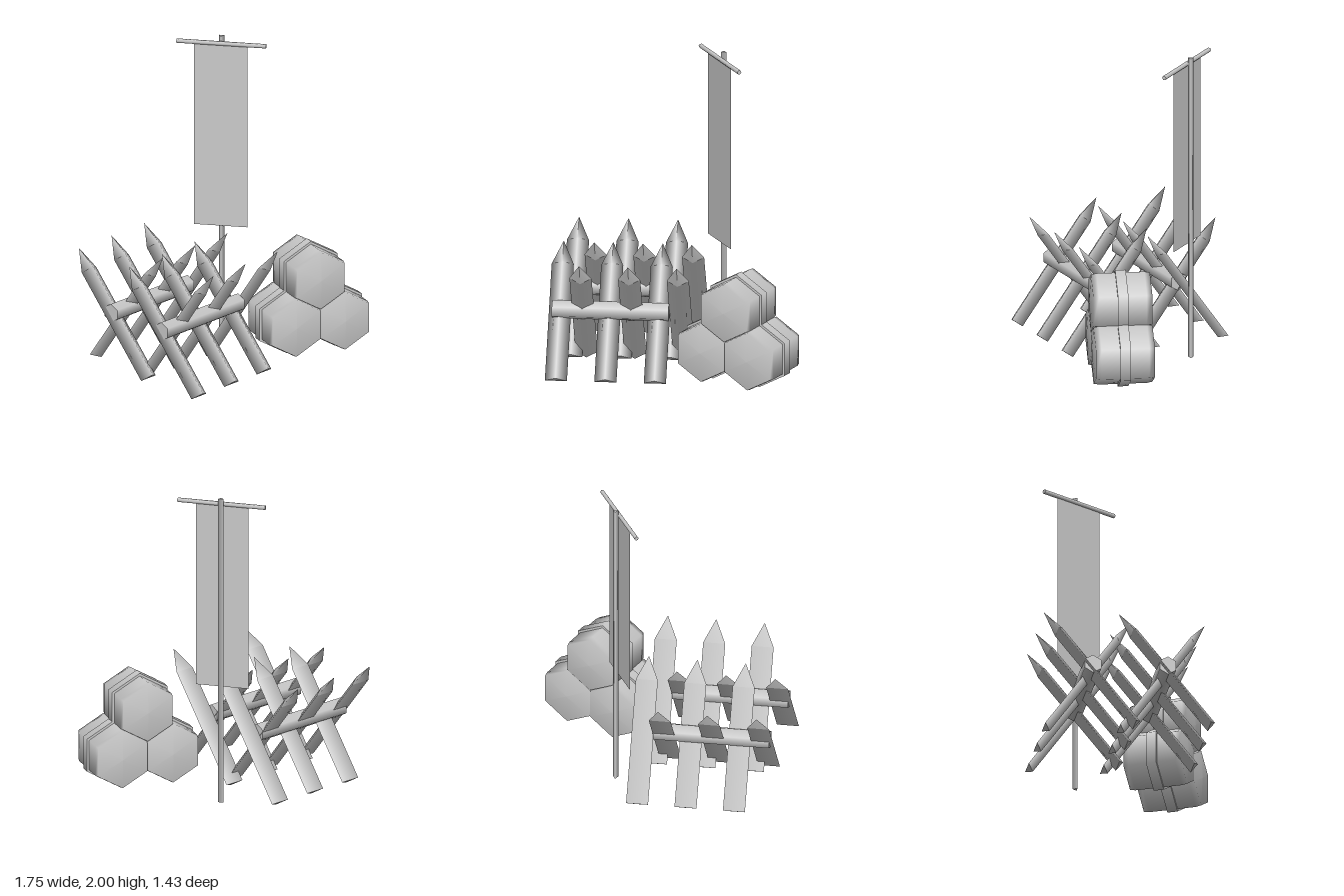
import * as THREE from 'three';
import { mergeGeometries } from 'three/addons/utils/BufferGeometryUtils.js';

const grey = new THREE.MeshStandardMaterial({ color: 0xcccccc });
const cloth = new THREE.MeshStandardMaterial({ color: 0xcccccc, side: THREE.DoubleSide });

function add(parent, name, geometry, x = 0, y = 0, z = 0, material = grey) {
  const mesh = new THREE.Mesh(geometry, material);
  mesh.name = name;
  mesh.position.set(x, y, z);
  parent.add(mesh);
  return mesh;
}

// Three-sided, flattened stake with a pointed end; its foot centre is at the origin
const SHAFT = 0.778, POINT = 0.15;
function stakeGeometry() {
  const shaft = new THREE.CylinderGeometry(0.08, 0.08, SHAFT, 3).translate(0, SHAFT / 2, 0);
  const point = new THREE.ConeGeometry(0.08, POINT, 3, 1, true).translate(0, SHAFT + POINT / 2, 0);
  return mergeGeometries([shaft, point]).scale(1, 1, 0.375);
}

// Place a stake from foot to tip; the ridge of its section looks towards +x
function addStake(parent, name, geometry, footX, footY, tipX, tipY, z) {
  const along = new THREE.Vector3(tipX - footX, tipY - footY, 0).normalize();
  const ridge = new THREE.Vector3(along.y, -along.x, 0);
  const side = new THREE.Vector3(0, 0, -1);
  const stake = add(parent, name, geometry, footX, footY, z);
  stake.quaternion.setFromRotationMatrix(new THREE.Matrix4().makeBasis(side, along, ridge));
}

// Crossed stakes resting on a log
function barricade(x, z) {
  const group = new THREE.Group();
  group.name = 'barricade';
  group.position.set(x, 0, z);
  group.rotation.y = -Math.PI / 6;
  add(group, 'log', new THREE.CylinderGeometry(0.06, 0.06, 0.73, 6).rotateX(Math.PI / 2), 0, 0.41, 0);
  const geometry = stakeGeometry();
  for (let i = -1; i <= 1; i++) {
    addStake(group, 'outwardStake', geometry, 0.282, 0.04, -0.305, 0.76, 0.01 + i * 0.31);
    addStake(group, 'inwardStake', geometry, -0.268, 0.031, 0.267, 0.79, -0.13 + i * 0.305);
  }
  return group;
}

// Six-sided barrels stacked in a pyramid, each with a raised hoop
function barrelStack() {
  const group = new THREE.Group();
  group.name = 'barrelStack';
  group.position.set(0.498, 0, -0.378);
  group.rotation.y = 0.615;
  const profile = [[0, -0.195], [0.188, -0.185], [0.195, -0.15], [0.195, 0.15], [0.188, 0.185], [0, 0.195]]
    .map(([r, h]) => new THREE.Vector2(r, h));
  const body = new THREE.LatheGeometry(profile, 6).rotateX(Math.PI / 2);
  const hoop = new THREE.CylinderGeometry(0.212, 0.212, 0.066, 6).rotateX(Math.PI / 2);
  for (const [x, y] of [[-0.167, 0.245], [0.167, 0.245], [0, 0.535]]) {
    add(group, 'barrel', body, x, y, 0);
    add(group, 'barrelHoop', hoop, x, y, 0);
  }
  return group;
}

// Hanging cloth on a crossbar and pole
function banner() {
  const group = new THREE.Group();
  group.name = 'banner';
  add(group, 'pole', new THREE.CylinderGeometry(0.02, 0.02, 2, 3), -0.09, 1, -0.55);
  add(group, 'crossbar', new THREE.CylinderGeometry(0.014, 0.014, 0.57, 6).rotateZ(Math.PI / 2), -0.085, 1.957, -0.522);
  add(group, 'cloth', new THREE.PlaneGeometry(0.34, 1.2), -0.09, 1.352, -0.522, cloth);
  return group;
}

export function createModel() {
  const model = new THREE.Group();
  model.name = 'campDefences';
  model.add(barricade(-0.45, -0.045), barricade(-0.075, 0.235), barrelStack(), banner());
  return model;
}
